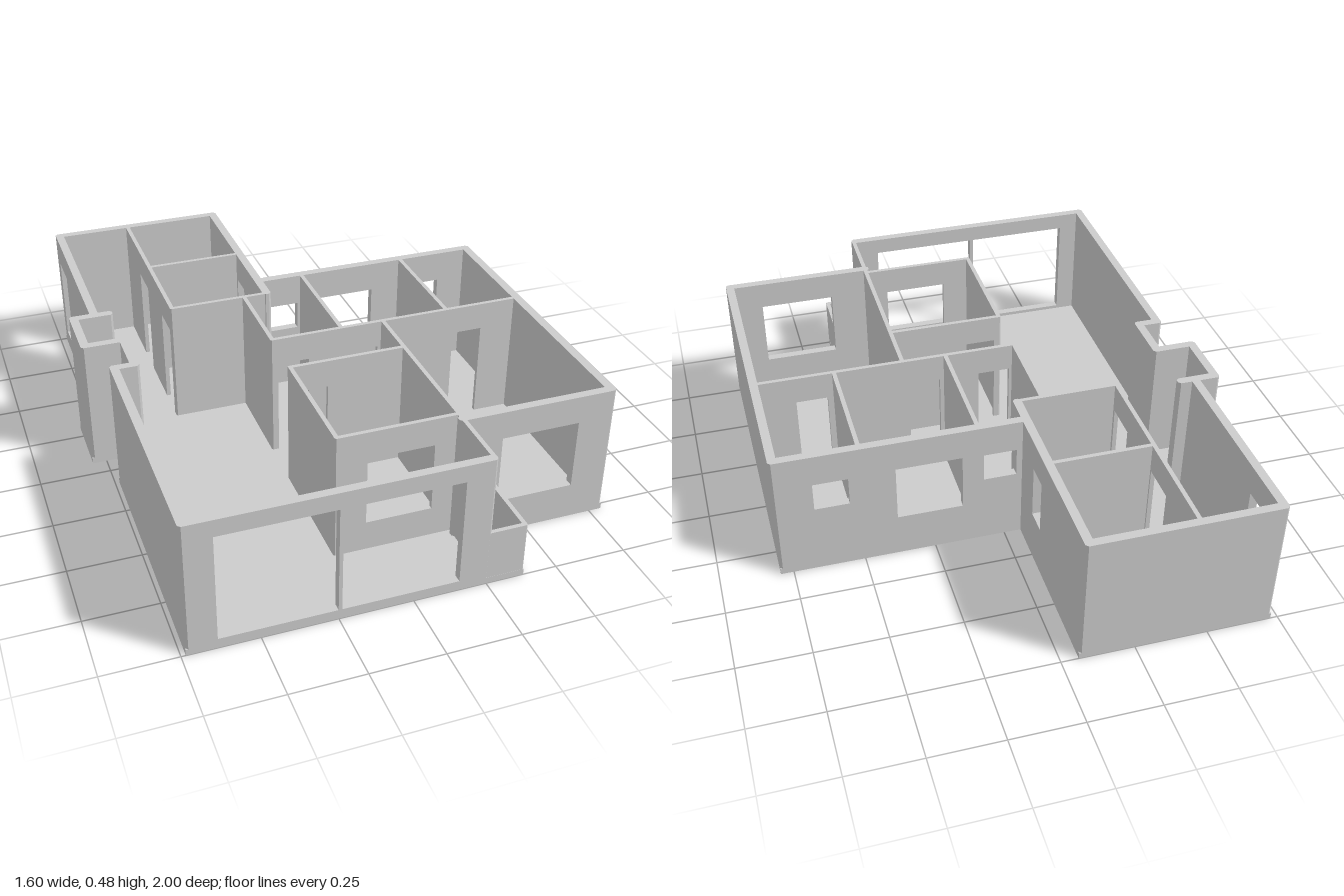
import * as THREE from 'three';

const FLOOR = 0.022, TOP = 0.48, LOW = 0.2, DOOR = 0.38;
const OUTER = 0.03, INNER = 0.015;
const material = new THREE.MeshStandardMaterial({ color: 0xcccccc, flatShading: true });

// Ground outline as [x, z] corners
const OUTLINE = [
  [-0.725, -1], [-0.06, -1], [-0.06, -0.365], [0.795, -0.365], [0.795, 0.775], [0.382, 0.775],
  [0.382, 1], [-0.735, 1], [-0.735, 0.08], [-0.665, 0.08], [-0.665, -0.065], [-0.8, -0.065],
  [-0.8, -0.3], [-0.725, -0.3],
];

function part(name, geometry) {
  const mesh = new THREE.Mesh(geometry, material);
  mesh.name = name;
  return mesh;
}

// Straight wall between two joint centres, with chamfered posts at its ends.
// Openings are [from, to, bottom, top] along the wall's own axis; doors start at the floor.
function wall(name, x1, z1, x2, z2, t, openings = [], height = TOP) {
  const group = new THREE.Group();
  group.name = name;
  const alongX = z1 === z2;
  const [a, b] = alongX ? [x1, x2] : [z1, z2];
  const shape = new THREE.Shape();
  shape.moveTo(a, FLOOR);
  for (const [from, to, bottom, top] of openings) {
    if (bottom <= FLOOR) {
      shape.lineTo(from, FLOOR);
      shape.lineTo(from, top);
      shape.lineTo(to, top);
      shape.lineTo(to, FLOOR);
    } else {
      const hole = new THREE.Path();
      hole.moveTo(from, bottom);
      hole.lineTo(from, top);
      hole.lineTo(to, top);
      hole.lineTo(to, bottom);
      hole.closePath();
      shape.holes.push(hole);
    }
  }
  shape.lineTo(b, FLOOR);
  shape.lineTo(b, height);
  shape.lineTo(a, height);
  shape.closePath();
  const panel = new THREE.ExtrudeGeometry(shape, { depth: t, bevelEnabled: false });
  panel.translate(0, 0, -t / 2);
  if (alongX) panel.translate(0, 0, z1);
  else panel.rotateY(-Math.PI / 2).translate(x1, 0, 0);
  group.add(part(name + 'Panel', panel));

  const r = t / 2 / Math.cos(Math.PI / 8);
  for (const [x, z] of [[x1, z1], [x2, z2]]) {
    const post = new THREE.CylinderGeometry(r, r, height - FLOOR, 8);
    post.rotateY(Math.PI / 8).translate(x, (height + FLOOR) / 2, z);
    group.add(part(name + 'Post', post));
  }
  return group;
}

export function createModel() {
  const model = new THREE.Group();
  model.name = 'floorPlanHouse';

  // Floor slab
  const slab = new THREE.Shape(OUTLINE.map(([x, z]) => new THREE.Vector2(x, -z)));
  const slabGeometry = new THREE.ExtrudeGeometry(slab, { depth: FLOOR, bevelEnabled: false });
  model.add(part('floorSlab', slabGeometry.rotateX(-Math.PI / 2)));

  const outer = (name, x1, z1, x2, z2, openings) =>
    model.add(wall(name, x1, z1, x2, z2, OUTER, openings));
  const inner = (name, x1, z1, x2, z2, openings, height) =>
    model.add(wall(name, x1, z1, x2, z2, INNER, openings, height));

  // Outer walls of the rear wing
  outer('wingRightWall', -0.71, -0.985, -0.71, -0.285, [[-0.94, -0.8, 0.065, DOOR]]);
  outer('wingBackWall', -0.71, -0.985, -0.075, -0.985);
  outer('wingLeftWall', -0.075, -0.985, -0.075, -0.25, [[-0.575, -0.49, 0.18, 0.375]]);

  // Outer walls of the main block
  outer('backWall', -0.075, -0.35, 0.78, -0.35, [
    [-0.04, 0.075, 0.26, 0.365], [0.15, 0.38, 0.16, 0.37], [0.54, 0.66, 0.26, 0.365],
  ]);
  outer('leftWall', 0.78, -0.35, 0.78, 0.76);
  outer('bedroomFrontWall', 0.25, 0.76, 0.78, 0.76, [[0.39, 0.665, 0.13, DOOR]]);
  outer('frontWall', -0.72, 0.985, 0.243, 0.985, [
    [-0.635, -0.251, 0.035, 0.42], [-0.239, 0.155, 0.035, 0.42],
  ]);
  outer('rightWall', -0.72, 0.095, -0.72, 0.985);

  // Bay and entrance recess on the right side
  outer('recessFrontWall', -0.72, 0.095, -0.65, 0.095);
  outer('recessWall', -0.65, -0.08, -0.65, 0.095);
  outer('bayFrontWall', -0.785, -0.08, -0.65, -0.08);
  outer('bayWall', -0.785, -0.285, -0.785, -0.08);
  outer('bayBackWall', -0.785, -0.285, -0.66, -0.285);

  // Low balcony parapet
  inner('parapetFront', 0.25, 0.992, 0.374, 0.992, [], LOW);
  inner('parapetSide', 0.374, 0.765, 0.374, 0.992, [], LOW);

  // Partitions in the rear wing
  inner('wingPartition', -0.435, -0.985, -0.435, -0.245, [
    [-0.74, -0.61, FLOOR, DOOR], [-0.39, -0.265, FLOOR, DOOR],
  ]);
  inner('wingCrossPartition', -0.435, -0.595, -0.075, -0.595);
  inner('wingFrontPartition', -0.435, -0.245, -0.075, -0.245);

  // Partitions between the back rooms
  inner('hallPartition', -0.163, -0.245, -0.163, 0.09);
  inner('bathPartition', 0.093, -0.35, 0.093, 0.09);
  inner('dressingPartition', 0.497, -0.35, 0.497, 0.09);
  inner('backRoomsPartition', -0.163, 0.09, 0.78, 0.09, [
    [-0.145, -0.03, FLOOR, DOOR], [0.115, 0.23, FLOOR, DOOR], [0.525, 0.638, FLOOR, DOOR],
  ]);

  // Bedroom partition and kitchen walls
  inner('bedroomPartition', 0.25, 0.09, 0.25, 0.985, [[0.11, 0.25, FLOOR, DOOR]]);
  inner('kitchenBackWall', -0.163, 0.285, 0.25, 0.285, [[-0.145, -0.03, FLOOR, DOOR]]);
  inner('kitchenSideWall', -0.163, 0.285, -0.163, 0.73);
  inner('kitchenFrontWall', -0.163, 0.73, 0.25, 0.73, [[-0.06, 0.17, 0.13, DOOR]]);

  return model;
}
